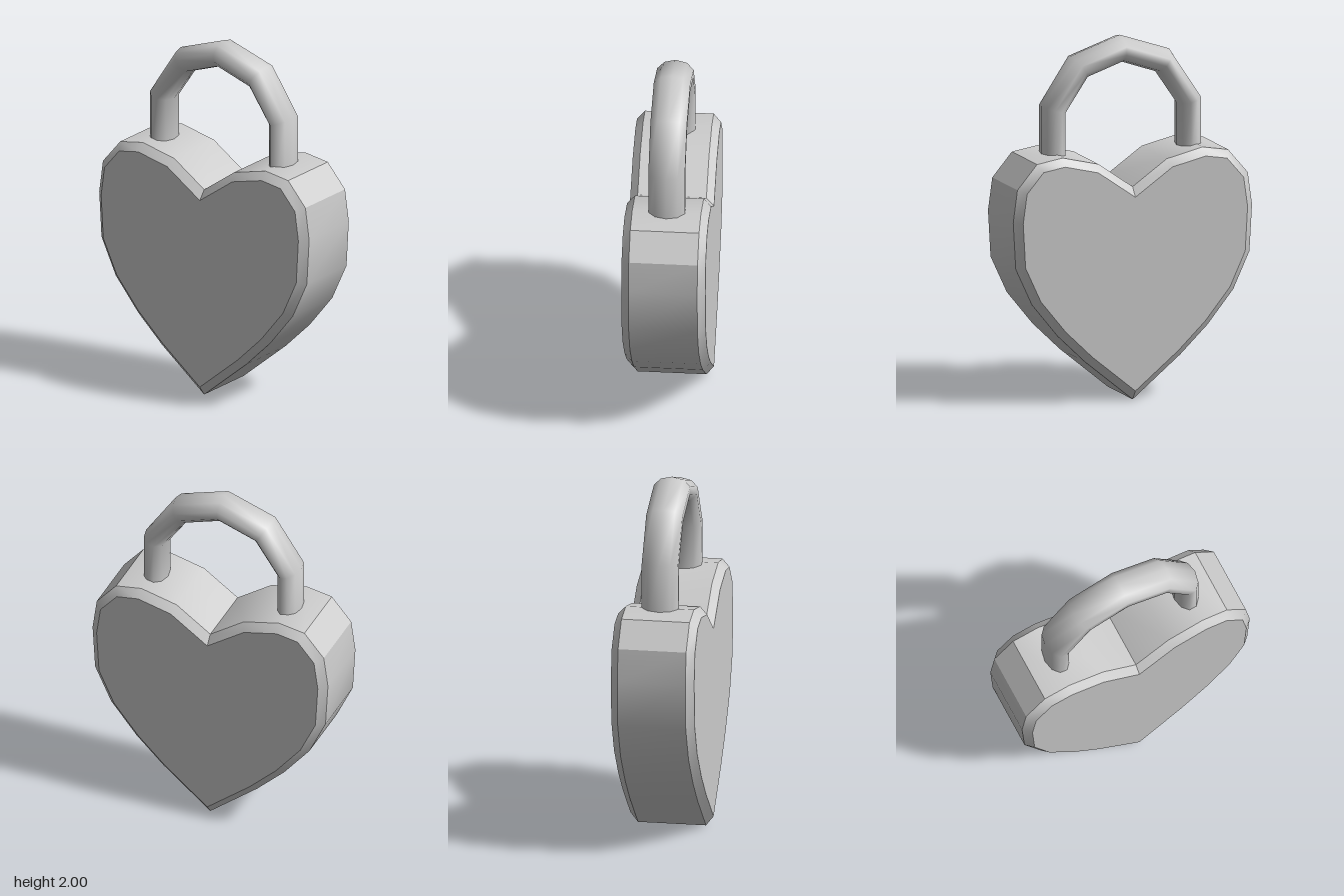
import * as THREE from 'three';
import { toCreasedNormals } from 'three/addons/utils/BufferGeometryUtils.js';

const material = new THREE.MeshStandardMaterial({ color: 0xcccccc });

// Heart-shaped body: half outline [z, y] mirrored, extruded along x with a chamfer
function createBody() {
  const half = [
    [0.28, 0.235], [0.44, 0.39], [0.59, 0.575], [0.685, 0.78], [0.70, 1.04],
    [0.675, 1.22], [0.56, 1.355], [0.41, 1.38], [0.20, 1.33],
  ];
  const outline = [
    [0, 0.005], ...half,
    [0, 1.19], ...half.map(([z, y]) => [-z, y]).reverse(),
  ].map(([z, y]) => new THREE.Vector2(z, y));
  const chamfer = 0.042;
  const geometry = new THREE.ExtrudeGeometry(new THREE.Shape(outline), {
    depth: 0.376, bevelEnabled: true, bevelSegments: 1,
    bevelThickness: chamfer, bevelSize: chamfer, bevelOffset: -chamfer,
  });
  geometry.translate(0, 0, -0.188).rotateY(Math.PI / 2);
  const body = new THREE.Mesh(toCreasedNormals(geometry, Math.PI / 6), material);
  body.name = 'heartBody';
  return body;
}

// Shackle: oval ten-sided rings strung between the outer and inner edge of the arch
function createShackle() {
  const sides = 10;
  const halfWidth = 0.105;
  // outer z, outer y, inner z, inner y
  const leg = [
    [0.462, 1.28, 0.332, 1.28],
    [0.462, 1.638, 0.332, 1.597],
    [0.287, 1.903, 0.206, 1.782],
  ];
  const stations = [
    ...leg, [0, 2, 0, 1.853],
    ...leg.map(([oz, oy, iz, iy]) => [-oz, oy, -iz, iy]).reverse(),
  ];
  const positions = [];
  const indices = [];
  stations.forEach(([oz, oy, iz, iy], i) => {
    for (let j = 0; j < sides; j++) {
      const angle = (j / sides) * Math.PI * 2;
      const t = (1 + Math.cos(angle)) / 2;
      positions.push(halfWidth * Math.sin(angle), iy + (oy - iy) * t, iz + (oz - iz) * t);
      if (i === stations.length - 1) continue;
      const a = i * sides + j;
      const b = i * sides + ((j + 1) % sides);
      indices.push(a, b, b + sides, a, b + sides, a + sides);
    }
  });
  const geometry = new THREE.BufferGeometry();
  geometry.setAttribute('position', new THREE.Float32BufferAttribute(positions, 3));
  geometry.setIndex(indices);
  geometry.computeVertexNormals();
  const shackle = new THREE.Mesh(geometry, material);
  shackle.name = 'shackle';
  return shackle;
}

export function createModel() {
  const padlock = new THREE.Group();
  padlock.name = 'heartPadlock';
  padlock.add(createBody(), createShackle());
  return padlock;
}
